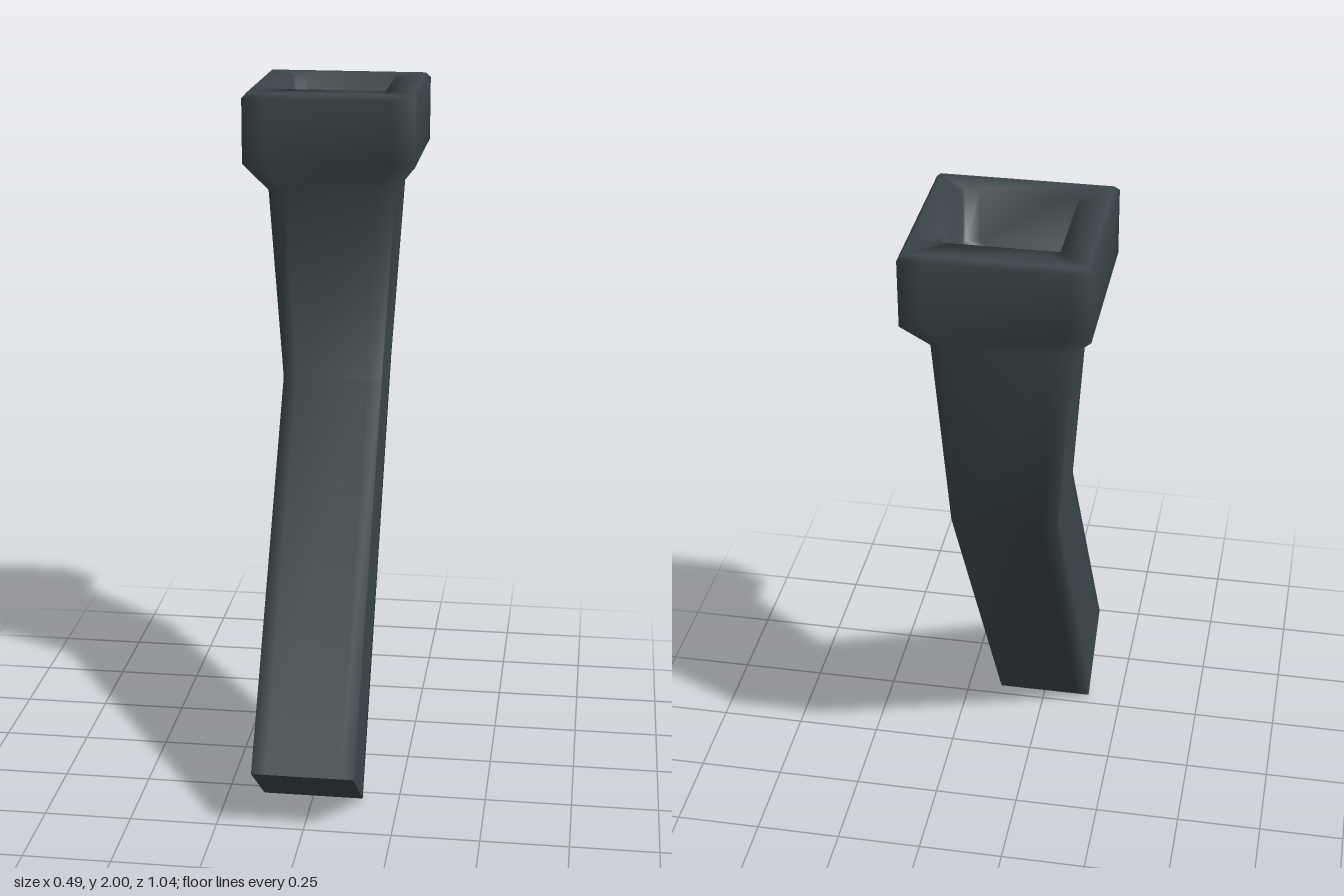
import * as THREE from 'three';

// Square outline walked anticlockwise from above: u runs across x, v runs front (0) to back (1)
const T = 0.13;
const corners = [[1, 0], [1, 1], [-1, 1], [-1, 0]];
const outline = corners.flatMap(([u, v], i) => {
  const [u2, v2] = corners[(i + 1) % 4];
  return [0, T, 1 - T].map((t) => [u + (u2 - u) * t, v + (v2 - v) * t]);
});
const N = outline.length;

// Each section: half width, front y and z, back y and z
const section = ([w, yf, zf, yb, zb]) =>
  outline.map(([u, v]) => new THREE.Vector3(u * w, yf + (yb - yf) * v, zf + (zb - zf) * v));

function build(points, index) {
  const g = new THREE.BufferGeometry().setFromPoints(points);
  g.setIndex(index);
  g.computeVertexNormals();
  return g;
}

// Skin through the sections in order, optionally closing the last one
function loft(sections, closeEnd) {
  const points = sections.flatMap(section);
  const index = [];
  for (let r = 0; r < sections.length - 1; r++) {
    for (let i = 0; i < N; i++) {
      const a = r * N + i, b = r * N + (i + 1) % N;
      index.push(a, b, b + N, a, b + N, a + N);
    }
  }
  if (closeEnd) {
    const base = (sections.length - 1) * N;
    const ring = points.slice(base);
    const c = points.length;
    points.push(ring.reduce((s, p) => s.add(p), new THREE.Vector3()).divideScalar(N));
    for (let i = 0; i < N; i++) index.push(c, base + i, base + (i + 1) % N);
  }
  return build(points, index);
}

export function createModel() {
  const group = new THREE.Group();
  group.name = 'drainSpout';
  const metal = new THREE.MeshStandardMaterial({ color: 0x3c474b });
  metal.name = 'dark slate metal';
  const add = (name, geometry) => {
    const mesh = new THREE.Mesh(geometry, metal);
    mesh.name = name;
    group.add(mesh);
  };

  // Angled pipe, tapered neck, square head and the recess in its top
  const outletEnd = [0.145, 0.175, 0.52, 0, 0.29];
  add('pipeAndHead', loft([
    outletEnd,
    [0.145, 1.15, -0.13, 1.15, -0.415],
    [0.18, 1.715, -0.095, 1.715, -0.453],
    [0.245, 1.8, -0.03, 1.8, -0.52],
    [0.245, 1.985, -0.03, 1.985, -0.52],
    [0.232, 2, -0.043, 2, -0.507],
    [0.152, 2, -0.12, 2, -0.432],
    [0.152, 1.85, -0.12, 1.85, -0.432],
  ], true));

  // Flat lower end, kept sharp
  const end = section(outletEnd);
  const capIndex = [];
  for (let i = 1; i < N - 1; i++) capIndex.push(0, i + 1, i);
  add('outletCap', build(end, capIndex));

  return group;
}
